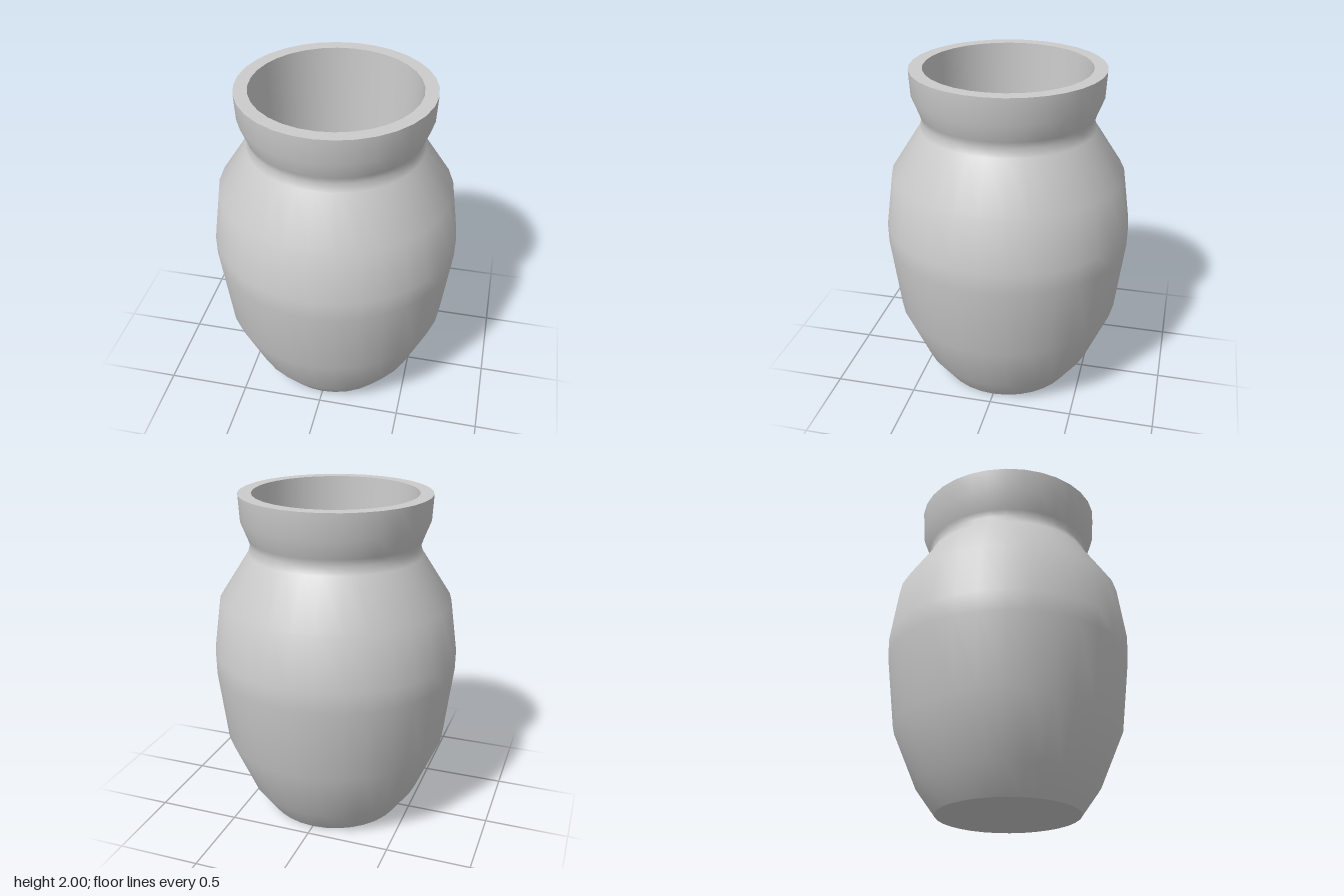
import * as THREE from 'three';

const SIDES = 32;

export function createModel() {
  const group = new THREE.Group();
  group.name = 'vase';
  const material = new THREE.MeshStandardMaterial({ color: 0xcccccc });

  // Revolves a [radius, height] profile; separate sections keep their shared edges sharp
  const turn = (name, profile) => {
    const points = profile.map(([r, y]) => new THREE.Vector2(r, y));
    const mesh = new THREE.Mesh(new THREE.LatheGeometry(points, SIDES), material);
    mesh.name = name;
    group.add(mesh);
  };

  const baseRadius = 0.42, rimRadius = 0.563, mouthRadius = 0.485;
  const floorRadius = 0.427, floorY = 0.1, top = 2;

  // Flat underside
  turn('base', [[0, 0], [baseRadius, 0]]);

  // Belly, pinched neck and flared collar
  turn('body', [
    [baseRadius, 0], [0.535, 0.16], [0.68, 0.5], [0.733, 0.94], [0.735, 1.06],
    [0.69, 1.38], [0.515, 1.65], [0.5, 1.7], [0.512, 1.74], [0.555, 1.85],
    [rimRadius, top],
  ]);

  // Flat lip
  turn('rim', [[rimRadius, top], [mouthRadius, top]]);

  // Tapered hollow and its floor
  turn('innerWall', [[mouthRadius, top], [floorRadius, floorY]]);
  turn('innerFloor', [[floorRadius, floorY], [0, floorY]]);

  return group;
}
